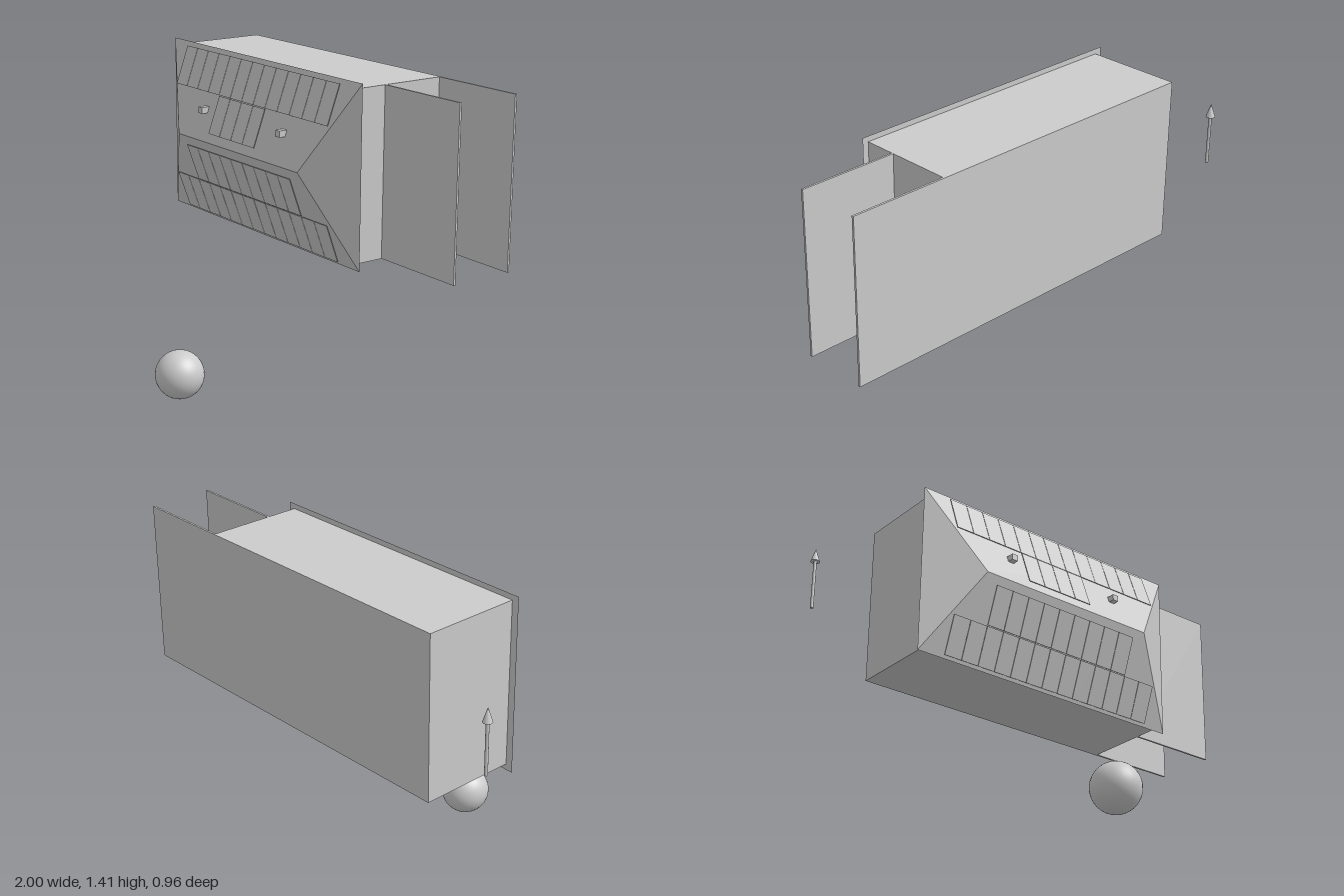
import * as THREE from 'three';

const material = new THREE.MeshStandardMaterial({ color: 0xcccccc });

// Roof dimensions: eave rectangle, ridge line and depth
const ROOF = { x0: -0.727, x1: 0.6, ridgeX0: -0.492, ridgeX1: 0.37, y: 1.029, half: 0.377, zBase: -0.047, zRidge: 0.091 };
const ROOF_DEPTH = ROOF.zRidge - ROOF.zBase;

function addMesh(parent, name, geometry, x = 0, y = 0, z = 0) {
  const mesh = new THREE.Mesh(geometry, material);
  mesh.name = name;
  mesh.position.set(x, y, z);
  parent.add(mesh);
  return mesh;
}

// Box given by its extents
function addBlock(parent, name, [x0, x1], [y0, y1], [z0, z1]) {
  return addMesh(parent, name, new THREE.BoxGeometry(x1 - x0, y1 - y0, z1 - z0),
    (x0 + x1) / 2, (y0 + y1) / 2, (z0 + z1) / 2);
}

// Closed hipped roof with flat faces
function roofGeometry() {
  const { x0, x1, ridgeX0, ridgeX1, y, half, zBase, zRidge } = ROOF;
  const corners = [
    [x0, y - half, zBase], [x1, y - half, zBase], [x1, y + half, zBase], [x0, y + half, zBase],
    [ridgeX0, y, zRidge], [ridgeX1, y, zRidge],
  ];
  const faces = [
    0, 1, 5, 0, 5, 4, // lower slope
    2, 3, 4, 2, 4, 5, // upper slope
    1, 2, 5, 3, 0, 4, // hips
    0, 3, 2, 0, 2, 1, // underside
  ];
  const geometry = new THREE.BufferGeometry();
  geometry.setAttribute('position', new THREE.Float32BufferAttribute(faces.flatMap((i) => corners[i]), 3));
  geometry.computeVertexNormals();
  return geometry;
}

// A row of thin panels floating just above one roof slope
function addPanelRow(parent, name, xStart, count, y0, y1) {
  const row = new THREE.Group();
  row.name = name;
  const pitch = 0.0833;
  const gap = 0.002;
  const angle = Math.atan2(ROOF_DEPTH, ROOF.half);
  const yMid = (y0 + y1) / 2;
  const rise = Math.abs(yMid - ROOF.y);
  const z = ROOF.zRidge - (rise / ROOF.half) * ROOF_DEPTH + 0.007;
  const geometry = new THREE.BoxGeometry(pitch - gap, (y1 - y0) / Math.cos(angle), 0.003);
  for (let i = 0; i < count; i++) {
    const panel = addMesh(row, 'solarPanel', geometry, xStart + (i + 0.5) * pitch, yMid, z);
    panel.rotation.x = yMid > ROOF.y ? -angle : angle;
  }
  parent.add(row);
}

export function createModel() {
  const model = new THREE.Group();
  model.name = 'solarHouse';

  // House body and the two side walls running past its end
  const height = [0.677, 1.383];
  addBlock(model, 'houseBody', [-0.695, 0.573], height, [-0.47, -0.047]);
  addBlock(model, 'rearWall', [0.573, 1], height, [-0.47, -0.461]);
  addBlock(model, 'middleWall', [0.573, 1], height, [-0.19, -0.181]);

  // Roof with its panels and vents
  addMesh(model, 'hippedRoof', roofGeometry());
  addPanelRow(model, 'upperOuterPanels', -0.605, 13, 1.227, 1.388);
  addPanelRow(model, 'upperInnerPanels', -0.269, 4, 1.068, 1.224);
  addPanelRow(model, 'lowerInnerPanels', -0.438, 9, 0.828, 0.989);
  addPanelRow(model, 'lowerOuterPanels', -0.605, 13, 0.664, 0.824);
  for (const x of [-0.342, 0.218]) {
    addBlock(model, 'roofVent', [x - 0.014, x + 0.014], [1.143, 1.17], [0.038, 0.077]);
  }

  // Sphere set apart from the house
  addMesh(model, 'sphere', new THREE.SphereGeometry(0.105, 32, 24), -0.064, 0.105, 0.377);

  // Direction arrow
  const arrow = new THREE.Group();
  arrow.name = 'directionArrow';
  arrow.position.set(-0.98, 0, -0.462);
  addMesh(arrow, 'arrowShaft', new THREE.CylinderGeometry(0.007, 0.007, 0.22, 16), 0, 1.03, 0);
  addMesh(arrow, 'arrowHead', new THREE.ConeGeometry(0.02, 0.06, 16), 0, 1.168, 0);
  model.add(arrow);

  return model;
}
